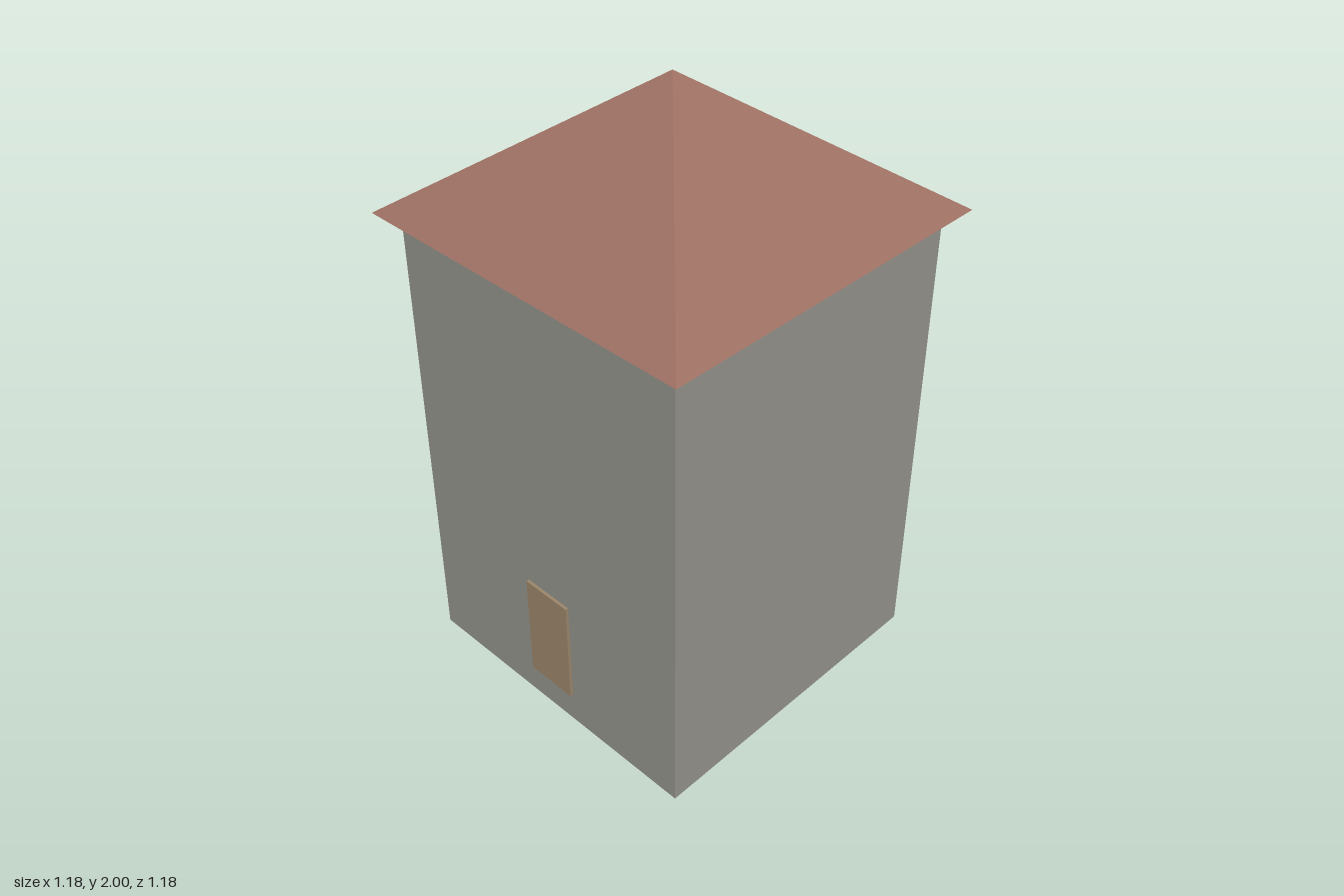
import * as THREE from 'three';

const flat = (name, color) => {
  const m = new THREE.MeshStandardMaterial({ color, flatShading: true });
  m.name = name;
  return m;
};

export function createModel() {
  const stone = flat('greyStone', 0x93928c);
  const tile = flat('redTile', 0x9c6f62);
  const wood = flat('brownWood', 0x9a856a);

  const tower = new THREE.Group();
  tower.name = 'tower';
  const add = (name, geometry, material, x, y, z) => {
    const mesh = new THREE.Mesh(geometry, material);
    mesh.name = name;
    mesh.position.set(x, y, z);
    tower.add(mesh);
    return mesh;
  };

  const half = 0.532, eaves = 1.577, roofHalf = 0.589;

  // Square tower body
  add('walls', new THREE.BoxGeometry(half * 2, eaves, half * 2), stone, 0, eaves / 2, 0);

  // Pyramid roof with a closed underside, overhanging the walls
  const roof = new THREE.ConeGeometry(roofHalf * Math.SQRT2, 2 - eaves, 4);
  roof.rotateY(Math.PI / 4);
  add('roof', roof, tile, 0, (2 + eaves) / 2, 0);

  // Raised doors on the front and on the -x side
  const door = new THREE.BoxGeometry(0.176, 0.373, 0.02);
  add('frontDoor', door, wood, 0, 0.296, half);
  add('sideDoor', door, wood, -half, 0.296, 0).rotation.y = -Math.PI / 2;

  return tower;
}
